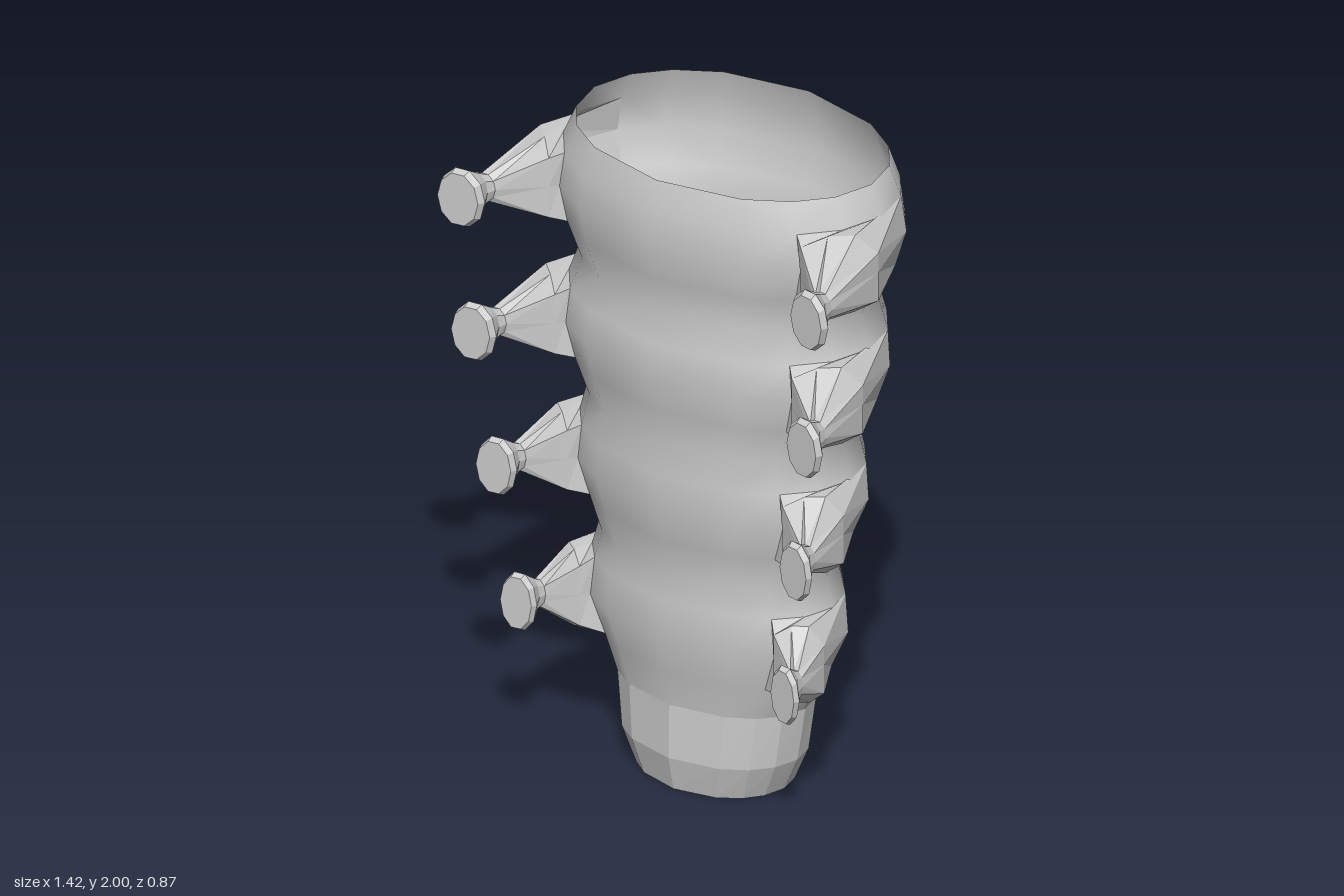
import * as THREE from 'three';

const material = new THREE.MeshStandardMaterial({ color: 0xcccccc, side: THREE.DoubleSide });
const flatMaterial = new THREE.MeshStandardMaterial({ color: 0xcccccc, side: THREE.DoubleSide, flatShading: true });

// Angles around the shell, measured from the front towards +x
const half = [0, 32, 51, 69, 90, 111, 129, 148];
const angles = [...half, ...half.map((a) => a + 180)].map(THREE.MathUtils.degToRad);
// Mirror-symmetric second half
half.forEach((a, i) => { angles[8 + i] = THREE.MathUtils.degToRad(i === 0 ? 180 : 360 - half[8 - i]); });
const SIDES = angles.length;

// Cross-sections: height, half width, front z, back z
const collarRings = [[0, 0.25, 0.23, -0.165], [0.11, 0.3, 0.255, -0.185], [0.28, 0.325, 0.25, -0.19]];
const shellRings = [
  collarRings[2],
  [0.39, 0.375, 0.265, -0.215], [0.51, 0.43, 0.29, -0.245], [0.63, 0.415, 0.285, -0.25], [0.72, 0.39, 0.272, -0.24],
  [0.83, 0.435, 0.295, -0.275], [0.94, 0.48, 0.315, -0.31], [1.05, 0.465, 0.315, -0.32], [1.155, 0.435, 0.305, -0.31],
  [1.26, 0.495, 0.32, -0.345], [1.37, 0.53, 0.34, -0.38], [1.48, 0.515, 0.335, -0.39], [1.58, 0.48, 0.305, -0.37],
  [1.69, 0.535, 0.33, -0.405], [1.8, 0.565, 0.345, -0.435], [1.91, 0.545, 0.34, -0.43], [2, 0.505, 0.31, -0.405],
];

function ringPoint([y, w, front, back], i) {
  const t = angles[i];
  return new THREE.Vector3(w * Math.sin(t), y, (front + back) / 2 + ((front - back) / 2) * Math.cos(t));
}

// Joins closed loops of points into a surface; skip(k, j) leaves a quad open
function loft(loops, { skip = () => false, cap = false, flip = false } = {}) {
  const n = loops[0].length;
  const points = loops.flat();
  const index = [];
  const tri = (a, b, c) => (flip ? index.push(a, c, b) : index.push(a, b, c));
  for (let k = 0; k < loops.length - 1; k++) {
    for (let j = 0; j < n; j++) {
      if (skip(k, j)) continue;
      const a = k * n + j, b = k * n + ((j + 1) % n);
      tri(a, b, b + n);
      tri(a, b + n, a + n);
    }
  }
  if (cap) {
    const last = loops[loops.length - 1];
    const centre = last.reduce((s, p) => s.add(p), new THREE.Vector3()).divideScalar(n);
    const base = (loops.length - 1) * n;
    points.push(centre);
    for (let j = 0; j < n; j++) tri(points.length - 1, base + j, base + ((j + 1) % n));
  }
  const geometry = new THREE.BufferGeometry().setFromPoints(points);
  geometry.setIndex(index);
  geometry.computeVertexNormals();
  return geometry;
}

// Arm section: outer and inner [x, z] ends, middle height, half height, list of [u, v]
function section(outer, inner, y, h, shape) {
  return shape.map(([u, v]) => new THREE.Vector3(
    THREE.MathUtils.lerp(outer[0], inner[0], u), y + h * v, THREE.MathUtils.lerp(outer[1], inner[1], u)));
}
const roundShape = Array.from({ length: 10 }, (_, j) => {
  const t = ((j + 1) * Math.PI) / 5;
  return [0.5 - 0.5 * Math.cos(t), Math.sin(t)];
});
const shoulderShape = [
  [0, 0.5], [0.3, 1], [0.65, 1], [1, 0.75], [1, 0],
  [1, -0.8], [0.65, -1], [0.3, -1], [0, -0.75], [0, 0],
];

// A hollow arm growing from an opening in the shell and ending in a flared knob
function armGeometry(row, sx, sz, side) {
  const low = shellRings[row - 1], mid = shellRings[row], high = shellRings[row + 1];
  const base = [
    ...[5, 4, 3, 2].map((i) => ringPoint(high, i)), ringPoint(mid, 2),
    ...[2, 3, 4, 5].map((i) => ringPoint(low, i)), ringPoint(mid, 5),
  ];
  const y = mid[0];
  const outer = ringPoint(mid, 5), inner = ringPoint(mid, 2);
  const at = (x, z) => [x * sx, z * sz];
  const loops = [
    base,
    section([outer.x + 0.095 * sx, outer.z + 0.255 * sz], [inner.x + 0.02, inner.z + 0.025], y, 0.123, shoulderShape),
    section(at(0.652, 0.325), at(0.58, 0.32), y - 0.01, 0.045, roundShape),
    section(at(0.66, 0.36), at(0.585, 0.35), y - 0.01, 0.06, roundShape),
    section(at(0.708, 0.415), at(0.56, 0.395), y - 0.015, 0.095, roundShape),
    section(at(0.7, 0.438), at(0.57, 0.415), y - 0.015, 0.085, roundShape),
  ];
  loops.flat().forEach((p) => { p.x *= side; });
  return loft(loops, { cap: true, flip: side < 0 });
}

export function createModel() {
  const group = new THREE.Group();
  const add = (name, geometry, mat) => {
    const mesh = new THREE.Mesh(geometry, mat);
    mesh.name = name;
    group.add(mesh);
  };
  const ringLoop = (ring) => angles.map((_, i) => ringPoint(ring, i));

  // Faceted collar at the foot
  add('collar', loft(collarRings.map(ringLoop)), flatMaterial);

  // Smooth ribbed shell, with side openings where the arms join
  const skip = (k, j) => (k % 4 === 1 || k % 4 === 2) && ((j >= 2 && j <= 4) || (j >= SIDES - 5 && j <= SIDES - 3));
  add('ribbedShell', loft(shellRings.map(ringLoop), { skip }), material);

  // Four pairs of arms, growing larger towards the top
  const arms = [[2, 0.765, 0.81], [6, 0.86, 0.875], [10, 0.95, 0.955], [14, 1, 1]];
  arms.forEach(([row, sx, sz], i) => {
    add(`leftArm${i + 1}`, armGeometry(row, sx, sz, 1), flatMaterial);
    add(`rightArm${i + 1}`, armGeometry(row, sx, sz, -1), flatMaterial);
  });
  return group;
}
